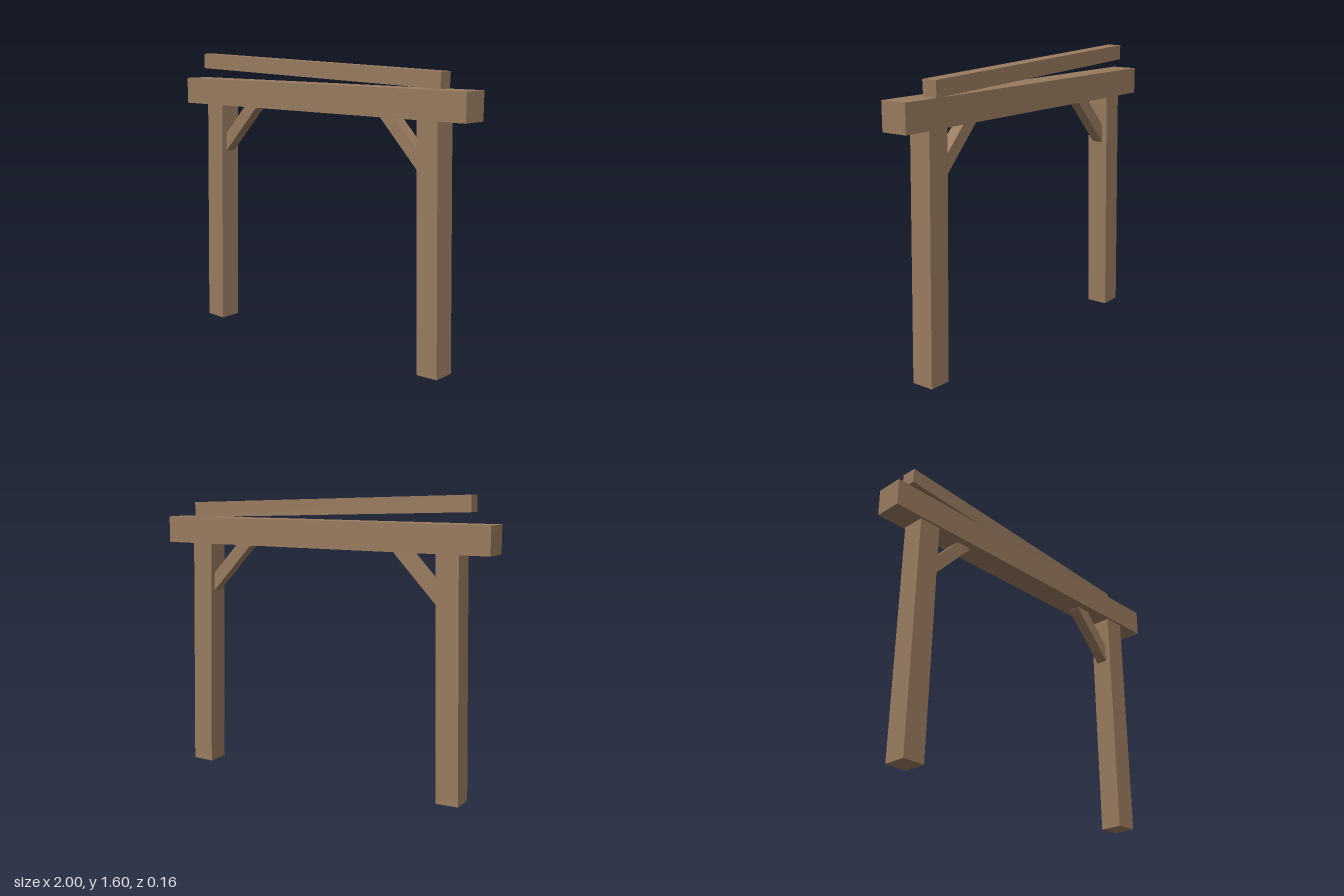
import * as THREE from 'three';

export function createModel() {
  const model = new THREE.Group();
  model.name = 'timberFrame';
  const wood = new THREE.MeshStandardMaterial({ color: 0x997b5f });
  wood.name = 'weatheredWood';

  function timber(name, size, position, rotation = [0, 0, 0]) {
    const mesh = new THREE.Mesh(new THREE.BoxGeometry(...size), wood);
    mesh.name = name;
    mesh.position.set(...position);
    mesh.rotation.set(...rotation);
    model.add(mesh);
  }

  const z = 0.004;

  // Lintel across the posts
  timber('crossBeam', [2, 0.15, 0.152], [0, 1.384, z]);

  // Loose log resting askew on the lintel
  timber('looseBeam', [1.682, 0.085, 0.085], [-0.04, 1.532, -0.016], [0, 0.0247, -0.0357]);

  // Posts leaning inward, each with a diagonal brace
  for (const [side, s] of [['left', 1], ['right', -1]]) {
    timber(side + 'Post', [0.126, 1.35, 0.127], [s * 0.782, 0.6765, z], [0, 0, s * 0.023]);
    timber(side + 'Brace', [0.42, 0.07, 0.066], [s * 0.625, 1.174, z], [0, 0, s * -0.81]);
  }

  return model;
}
